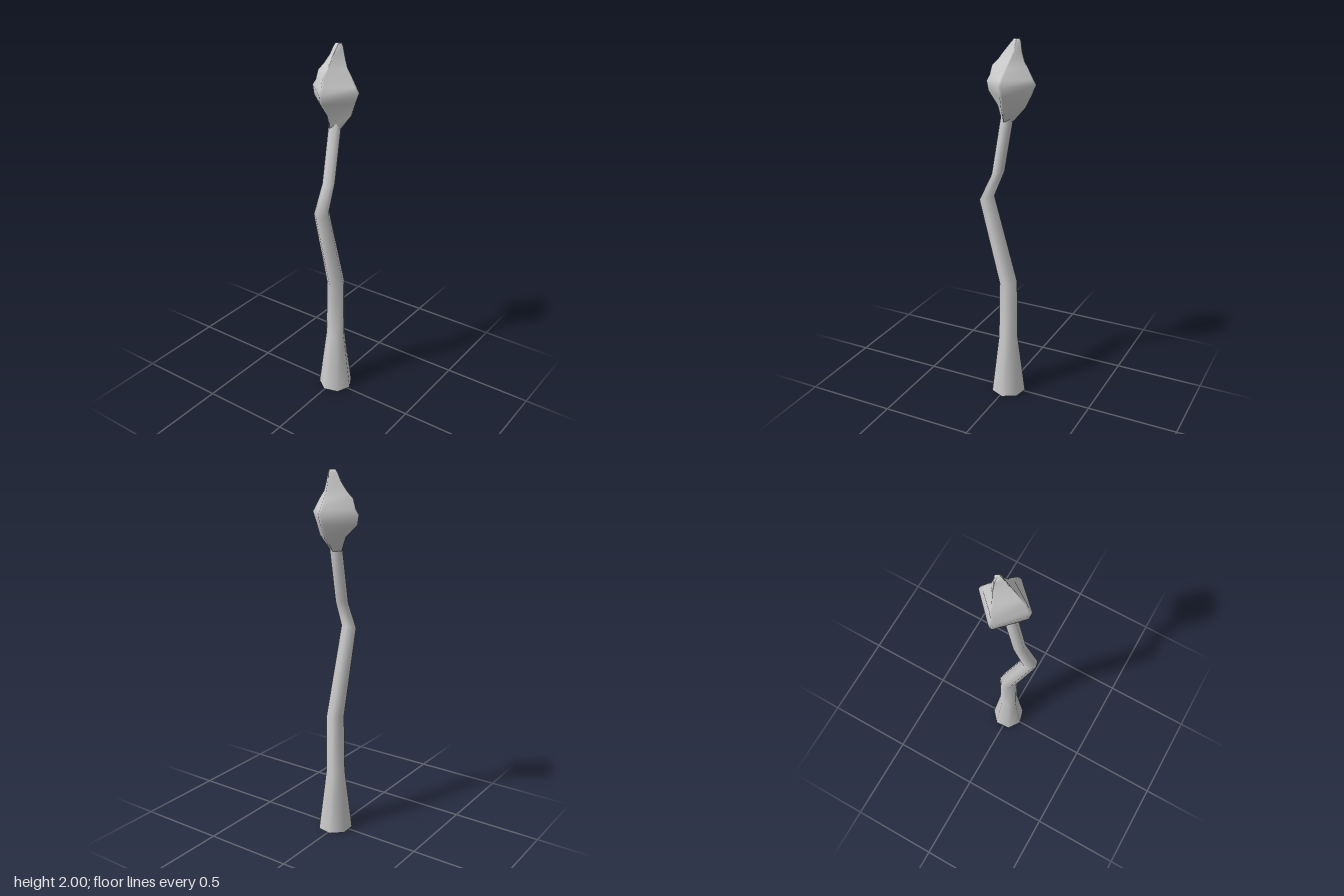
import * as THREE from 'three';

// Skins a stack of closed rings (each an array of [x, y, z]) with smooth normals
function loft(rings, capped) {
  const n = rings[0].length;
  const points = rings.flat();
  const index = [];
  for (let i = 0; i < rings.length - 1; i++) {
    for (let j = 0; j < n; j++) {
      const a = i * n + j, b = i * n + (j + 1) % n;
      index.push(a, a + n, b, b, a + n, b + n);
    }
  }
  if (capped) {
    const top = (rings.length - 1) * n;
    for (let j = 1; j < n - 1; j++) {
      index.push(0, j, j + 1, top, top + j + 1, top + j);
    }
  }
  const geometry = new THREE.BufferGeometry();
  geometry.setAttribute('position', new THREE.Float32BufferAttribute(points.flat(), 3));
  geometry.setIndex(index);
  geometry.computeVertexNormals();
  return geometry;
}

// Seven-sided trunk ring; tilt raises the back and lowers the front
function trunkRing([y, x, z, r, tilt]) {
  return Array.from({ length: 7 }, (_, k) => {
    const a = THREE.MathUtils.degToRad(100) + k * Math.PI * 2 / 7;
    return [x + r * Math.cos(a), y - tilt * Math.sin(a), z + r * Math.sin(a)];
  });
}

// Diamond ring with slightly blunted corners
function crownRing([y, left, right, front, back, cz]) {
  const cx = 0.005;
  const corners = [[right, cz], [cx, front], [left, cz], [cx, back]];
  const ring = [];
  corners.forEach(([x, z], i) => {
    for (const step of [3, 1]) {
      const [nx, nz] = corners[(i + step) % 4];
      ring.push([x + (nx - x) * 0.06, y, z + (nz - z) * 0.06]);
    }
  });
  return ring;
}

export function createModel() {
  const group = new THREE.Group();
  const material = new THREE.MeshStandardMaterial({ color: 0xcccccc, side: THREE.DoubleSide });

  // Bent trunk, open underneath: y, x, z, radius, tilt
  const trunk = new THREE.Mesh(loft([
    [0, 0.012, -0.01, 0.096, 0],
    [0.35, 0.012, -0.008, 0.053, 0],
    [0.68, 0.012, -0.009, 0.049, 0.005],
    [1.152, 0.012, 0.119, 0.041, 0.013],
    [1.30, 0.011, 0.052, 0.035, 0.01],
    [1.62, 0.013, -0.004, 0.034, 0],
  ].map(trunkRing), false), material);
  trunk.name = 'trunk';

  // Diamond crown: y, left edge, right edge, front edge, back edge, side corner z
  const crown = new THREE.Mesh(loft([
    [1.585, -0.025, 0.05, 0.035, -0.038, 0],
    [1.66, -0.06, 0.105, 0.058, -0.106, -0.015],
    [1.73, -0.137, 0.126, 0.113, -0.142, -0.02],
    [1.78, -0.146, 0.146, 0.123, -0.164, -0.02],
    [1.81, -0.125, 0.127, 0.105, -0.145, -0.02],
    [1.86, -0.117, 0.088, 0.092, -0.115, -0.03],
    [1.89, -0.088, 0.062, 0.06, -0.096, -0.035],
    [1.94, -0.058, 0.036, 0.02, -0.08, -0.05],
    [1.985, -0.037, 0.023, -0.02, -0.075, -0.053],
    [2.0, -0.024, 0.012, -0.035, -0.067, -0.053],
  ].map(crownRing), true), material);
  crown.name = 'crown';

  group.add(trunk, crown);
  return group;
}
